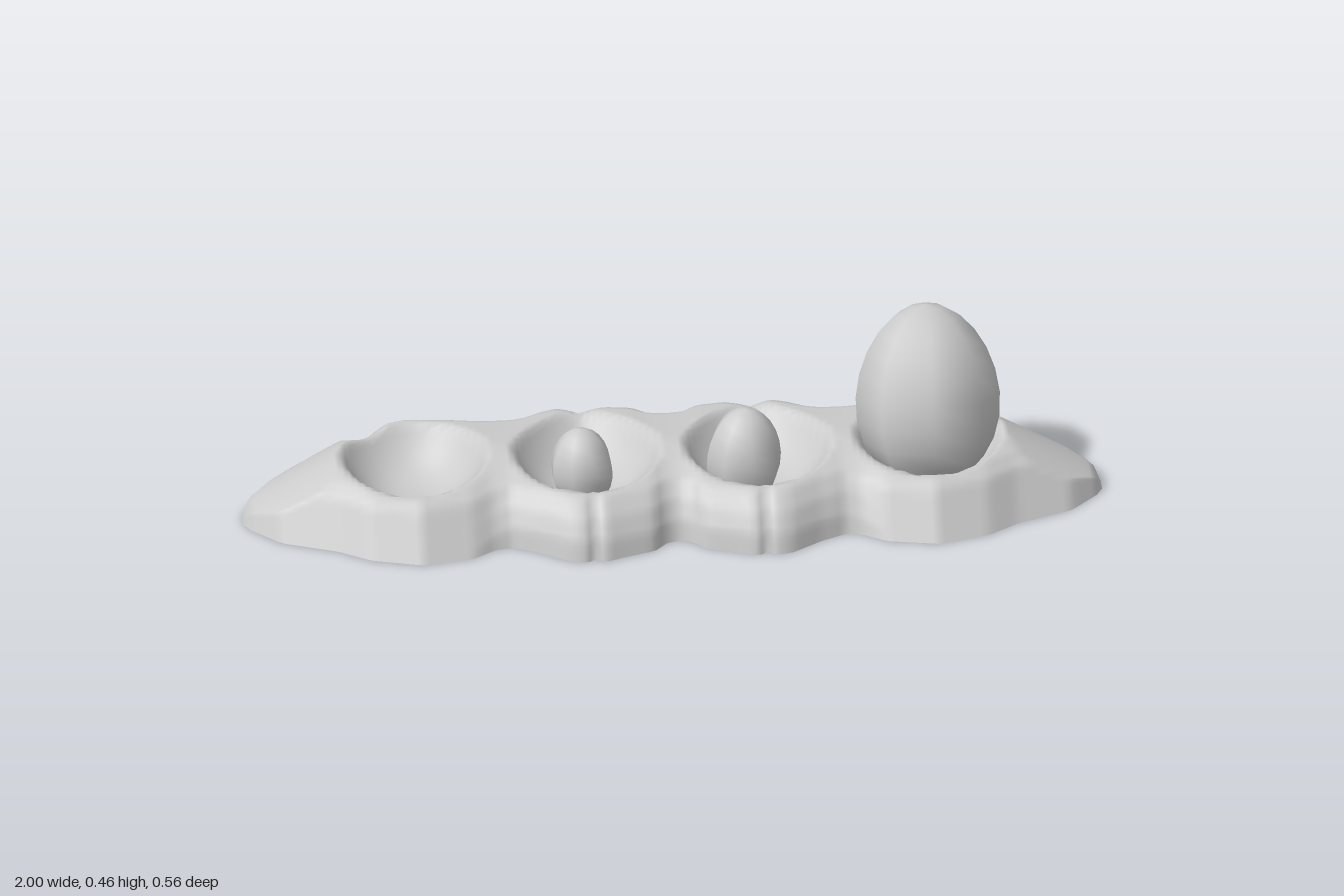
import * as THREE from 'three';

const material = new THREE.MeshStandardMaterial({ color: 0xcccccc, side: THREE.DoubleSide });

// Linear interpolation through [position, value] pairs
function along(points, t) {
  if (t <= points[0][0]) return points[0][1];
  for (let i = 1; i < points.length; i++) {
    const [a, va] = points[i - 1], [b, vb] = points[i];
    if (t <= b) return va + (vb - va) * (t - a) / (b - a);
  }
  return points[points.length - 1][1];
}

// Half-widths of the ground outline along |x|, front and back
const frontEdge = [[0, 0.19], [0.03, 0.2], [0.06, 0.235], [0.13, 0.26], [0.18, 0.28], [0.2, 0.262],
  [0.22, 0.28], [0.26, 0.27], [0.33, 0.22], [0.39, 0.19], [0.43, 0.2], [0.48, 0.235], [0.6, 0.26],
  [0.72, 0.225], [0.79, 0.175], [0.92, 0.12], [0.985, 0.05], [1, 0.02]];
const backEdge = [[0, 0.238], [0.04, 0.245], [0.08, 0.27], [0.14, 0.28], [0.2, 0.255], [0.25, 0.283],
  [0.32, 0.25], [0.36, 0.235], [0.42, 0.235], [0.5, 0.25], [0.6, 0.258], [0.7, 0.235], [0.79, 0.18],
  [0.82, 0.17], [0.92, 0.125], [0.985, 0.05], [1, 0.02]];

// Height of the outer slope by distance in from the outline, and of the tapered ends
const frontSlope = [[0, 0], [0.012, 0.045], [0.04, 0.09], [0.08, 0.125], [0.14, 0.145], [0.2, 0.155]];
const outerFrontSlope = [[0, 0], [0.07, 0.108], [0.11, 0.133], [0.16, 0.147], [0.2, 0.155]];
const backSlope = [[0, 0], [0.03, 0.11], [0.055, 0.14], [0.12, 0.147], [0.2, 0.155]];
const endSlope = [[0.76, 0.16], [0.985, 0.035], [1, 0]];

function mouldHeight(x, z, inset) {
  const ax = Math.abs(x), inner = ax < 0.4;
  const front = THREE.MathUtils.lerp(along(frontSlope, inset), along(outerFrontSlope, inset),
    THREE.MathUtils.smoothstep(ax, 0.36, 0.5));
  // The ends fall away to both sides of a central ridge
  const y = Math.min(z > 0 ? front : along(backSlope, inset), along(endSlope, ax) - (ax > 0.6 ? 1.8 * z * z : 0) * THREE.MathUtils.smoothstep(ax, 0.6, 0.72));
  // Scooped nest: inner ones come to a point at the back
  const dx = Math.abs(ax - (inner ? 0.2 : 0.6)) / 0.168;
  const dz = inner ? Math.abs(z) / (z < 0 ? 0.21 : 0.185) : Math.abs(z + 0.012) / 0.178;
  const power = inner && z < 0 ? 1.65 : 2;
  const r = Math.pow(dx ** power + dz ** power, 1 / power);
  return Math.min(y, 0.04 + 0.107 * r ** 2.6);
}

// Hollow tray with four nests, open underneath
function makeTray() {
  const geometry = new THREE.PlaneGeometry(2, 2, 140, 48);
  geometry.rotateX(-Math.PI / 2);
  const p = geometry.attributes.position;
  for (let i = 0; i < p.count; i++) {
    const x = p.getX(i), v = Math.sin(p.getZ(i) * Math.PI / 2);
    const width = along(v > 0 ? frontEdge : backEdge, Math.abs(x));
    const z = v * width;
    p.setXYZ(i, x, Math.max(0, mouldHeight(x, z, width - Math.abs(z))), z);
  }
  geometry.computeVertexNormals();
  const mesh = new THREE.Mesh(geometry, material);
  mesh.name = 'nestTray';
  return mesh;
}

// Eight-sided egg, wider below its middle
function makeEgg(name, radius, height, position, tiltX, tiltZ, turn) {
  const profile = [];
  for (let i = 0; i <= 12; i++) {
    const a = Math.PI * i / 12, c = -Math.cos(a);
    profile.push(new THREE.Vector2(radius * Math.sin(a) * (1 - 0.09 * c), height / 2 * c));
  }
  const mesh = new THREE.Mesh(new THREE.LatheGeometry(profile, 8, turn), material);
  mesh.name = name;
  mesh.position.set(...position);
  mesh.rotation.set(tiltX, 0, tiltZ);
  return mesh;
}

export function createModel() {
  const group = new THREE.Group();
  group.name = 'eggsInNests';
  group.add(
    makeTray(),
    makeEgg('largeEgg', 0.168, 0.436, [0.597, 0.247, -0.016], -0.24, 0, 0),
    makeEgg('mediumEgg', 0.088, 0.235, [0.163, 0.148, 0.055], -0.05, -0.05, 0.15),
    makeEgg('smallEgg', 0.074, 0.192, [-0.214, 0.129, 0.043], -0.05, 0.06, Math.PI / 8)
  );
  return group;
}
